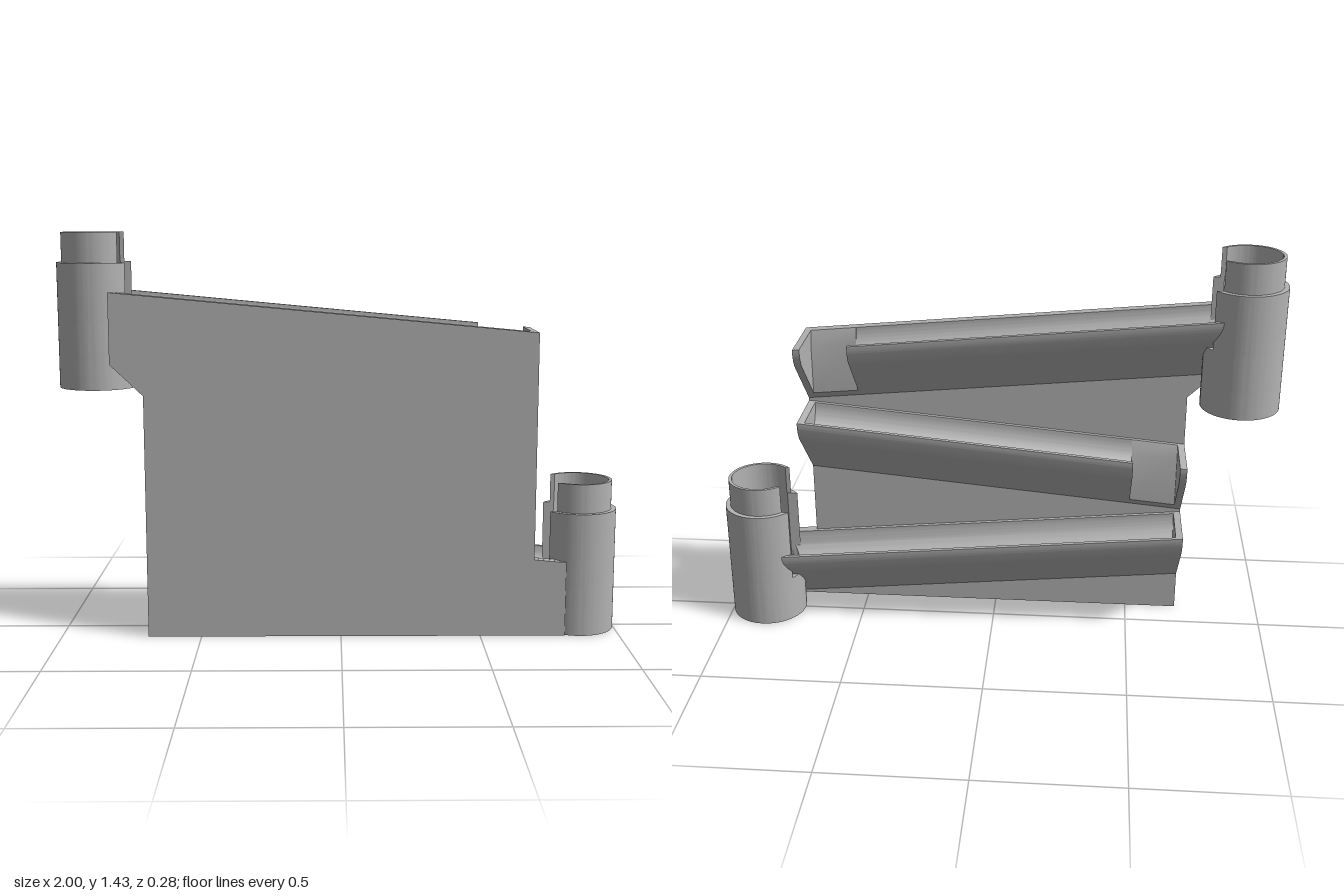
import * as THREE from 'three';
import { toCreasedNormals } from 'three/addons/utils/BufferGeometryUtils.js';

const TOWER_X = 0.8625, R = 0.1375, COLLAR_R = 0.12, BORE = 0.109, SOCKET = 0.122;
const SLOPE = 0.094, END = 0.69, CAP = 0.025, DROP = 0.5;
const OUT = 0.11, IN = 0.095, LOW = -OUT * Math.SQRT2 - OUT;

export function createModel() {
  const model = new THREE.Group();
  model.name = 'zigzagMarbleRun';
  const grey = new THREE.MeshStandardMaterial({ color: 0xb4b4b4 });
  grey.name = 'grey plastic';

  const add = (parent, name, geometry) => {
    const mesh = new THREE.Mesh(toCreasedNormals(geometry, 0.5), grey);
    mesh.name = name;
    parent.add(mesh);
    return mesh;
  };

  // Upright tube from y0 to y1, optionally with a parallel-sided slot facing +x
  const tube = (outer, inner, y0, y1, slot = 0) => {
    const s = new THREE.Shape();
    if (slot) {
      const a = Math.asin(slot / outer), b = Math.asin(slot / inner);
      s.absarc(0, 0, outer, a, Math.PI * 2 - a, false);
      s.absarc(0, 0, inner, Math.PI * 2 - b, b, true);
      s.closePath();
    } else {
      s.absarc(0, 0, outer, 0, Math.PI * 2, false);
      s.holes.push(new THREE.Path().absarc(0, 0, inner, 0, Math.PI * 2, true));
    }
    const g = new THREE.ExtrudeGeometry(s, { depth: y1 - y0, bevelEnabled: false, curveSegments: 56 });
    return g.rotateX(-Math.PI / 2).translate(0, y0, 0);
  };

  const tower = (name, x, base, slotY, top, collarTop, turn) => {
    const g = new THREE.Group();
    g.name = name;
    add(g, 'socket', tube(R, SOCKET, base, base + 0.1));
    add(g, 'lowerWall', tube(R, BORE, base + 0.1, slotY));
    add(g, 'slottedWall', tube(R, BORE, slotY, top, 0.08));
    add(g, 'collar', tube(COLLAR_R, BORE, top, collarTop, 0.082));
    g.position.x = x;
    g.rotation.y = turn;
    model.add(g);
    return g;
  };
  const upper = tower('upperTower', -TOWER_X, 0.89, 1.12, 1.33, 1.435, 0);
  tower('lowerTower', TOWER_X, 0, 0.17, 0.445, 0.55, Math.PI);

  // Tilted floor that sends the ball out of the upper tower
  const floor = new THREE.CylinderGeometry(0.112, 0.112, 0.02, 56);
  const fp = floor.attributes.position;
  for (let i = 0; i < fp.count; i++) fp.setY(i, fp.getY(i) + 1.165 - 0.45 * fp.getX(i));
  floor.computeVertexNormals();
  add(upper, 'towerFloor', floor);

  // Channel sections, drawn with the back of the model towards +x
  const lowerEdge = (s, toX) => {
    s.absarc(0, 0, OUT, 0, -Math.PI / 4, true);
    const c = OUT * Math.SQRT1_2;
    for (let i = 1; i <= 12; i++) {
      const x = c + (toX - c) * i / 12;
      s.lineTo(x, x - OUT * Math.SQRT2);
    }
    s.closePath();
  };
  const gutter = new THREE.Shape();
  gutter.moveTo(-OUT, 0);
  gutter.lineTo(-IN, 0);
  gutter.absarc(0, 0, IN, Math.PI, Math.PI * 2, false);
  gutter.lineTo(OUT, 0);
  lowerEdge(gutter, -OUT);
  const solid = new THREE.Shape();
  solid.moveTo(-OUT, 0);
  solid.lineTo(OUT, 0);
  lowerEdge(solid, -OUT);
  // Narrow strip left beside each drop hole
  const strip = new THREE.Shape([
    [-OUT, LOW + OUT - OUT], [-0.08, -0.08 - OUT * Math.SQRT2], [-0.08, -0.05], [-IN, 0], [-OUT, 0],
  ].map(([x, y]) => new THREE.Vector2(x, y)));

  // Sweep a section along x, follow the slope, and trim it to a tower wall
  const sweep = (shape, x0, x1, rim, towerSide = 0) => {
    const g = new THREE.ExtrudeGeometry(shape, { depth: x1 - x0, bevelEnabled: false, curveSegments: 24 });
    g.rotateY(Math.PI / 2).translate(x0, 0, 0);
    const p = g.attributes.position;
    for (let i = 0; i < p.count; i++) {
      let x = p.getX(i);
      const z = p.getZ(i);
      if (towerSide && x * towerSide > 0.72) {
        x = towerSide * (TOWER_X - Math.sqrt(Math.max(0, SOCKET ** 2 - z * z)));
      }
      p.setXYZ(i, x, Math.max(0, p.getY(i) + rim(x)), z);
    }
    g.computeVertexNormals();
    return g;
  };

  const channel = (name, rim, parts) => {
    const g = new THREE.Group();
    g.name = name;
    for (const [part, shape, x0, x1, side] of parts) add(g, part, sweep(shape, x0, x1, rim, side));
    model.add(g);
  };
  const inner = END - CAP;
  channel('topChannel', x => 1.155 - SLOPE * x, [
    ['gutter', gutter, -0.75, DROP, -1],
    ['dropStrip', strip, DROP, inner],
    ['endCap', solid, inner, END],
  ]);
  channel('middleChannel', x => 0.75 + SLOPE * x, [
    ['startCap', solid, inner, END],
    ['gutter', gutter, -DROP, inner],
    ['dropStrip', strip, -inner, -DROP],
    ['endCap', solid, -END, -inner],
  ]);
  channel('bottomChannel', x => 0.345 - SLOPE * x, [
    ['startCap', solid, -END, -inner],
    ['gutter', gutter, -inner, 0.75, 1],
  ]);

  // Front panel joining channels and towers
  const panel = new THREE.Shape([
    [-END, 0], [0.805, 0], [0.805, 0.269], [END, 0.28], [END, 1.09],
    [-0.805, 1.23], [-0.805, 0.98], [-END, 0.87],
  ].map(([x, y]) => new THREE.Vector2(x, y)));
  add(model, 'frontPanel', new THREE.ExtrudeGeometry(panel, { depth: 0.022, bevelEnabled: false })
    .translate(0, 0, 0.109));

  return model;
}
